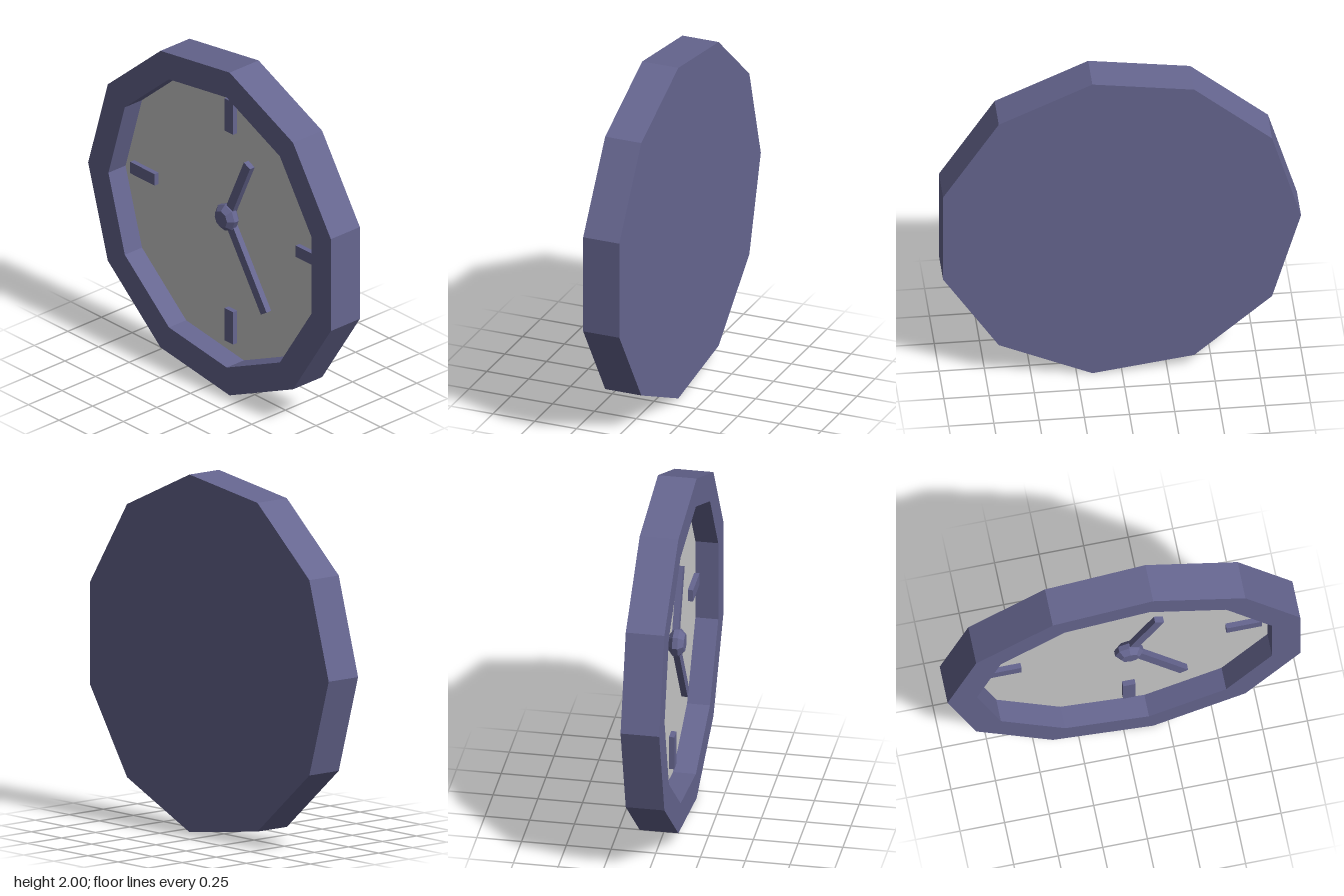
import * as THREE from 'three';

export function createModel() {
  const clock = new THREE.Group();
  clock.name = 'wallClock';

  const SIDES = 11, R = 1.01, INNER = 0.845, HALF = 0.108, DIAL_X = 0.02;
  const CY = 1, CZ = 0.02;          // centre of the case
  const HUB_Y = 1.03, HUB_Z = 0.045; // centre of the hands

  const blue = new THREE.MeshStandardMaterial({ color: 0x666690, flatShading: true });
  const grey = new THREE.MeshStandardMaterial({ color: 0xcccccc, flatShading: true });

  function add(name, geometry, material, x, y, z) {
    const mesh = new THREE.Mesh(geometry, material);
    mesh.name = name;
    mesh.position.set(x, y, z);
    clock.add(mesh);
    return mesh;
  }

  // Turned shape whose axis points to -x, towards the viewer of the dial
  function turned(profile, sides) {
    const points = profile.map(([r, h]) => new THREE.Vector2(r, h));
    return new THREE.LatheGeometry(points, sides, Math.PI).rotateZ(Math.PI / 2);
  }

  // Case: flat back, outer rim, ring front and inner wall
  add('case', turned([[0, -HALF], [R, -HALF], [R, HALF], [INNER, HALF], [INNER, -DIAL_X]], SIDES),
    blue, 0, CY, CZ);

  // Recessed dial
  add('dial', turned([[INNER, -DIAL_X], [0, -DIAL_X]], SIDES), grey, 0, CY, CZ);

  // Hour marks at the four quarters
  const LENGTH = 0.2, WIDTH = 0.07, DEPTH = 0.03;
  for (const s of [1, -1]) {
    add(s > 0 ? 'topMark' : 'bottomMark', new THREE.BoxGeometry(DEPTH, LENGTH, WIDTH),
      blue, DIAL_X - DEPTH / 2, CY + s * 0.65, 0.05);
    add(s > 0 ? 'frontMark' : 'rearMark', new THREE.BoxGeometry(DEPTH, WIDTH, LENGTH),
      blue, DIAL_X - DEPTH / 2, CY + 0.025, CZ + s * 0.675);
  }

  // Hands, pivoting about the hub
  function hand(name, length, angle) {
    const geometry = new THREE.BoxGeometry(0.035, length, 0.055).translate(0, length / 2, 0);
    add(name, geometry, blue, DIAL_X - 0.03, HUB_Y, HUB_Z).rotation.x = angle;
  }
  hand('hourHand', 0.42, 0.42);
  hand('minuteHand', 0.57, 2.57);

  // Faceted hub
  add('hub', turned([[0.05, 0], [0.08, 0.025], [0.08, 0.055], [0.05, 0.085], [0, 0.085]], 8),
    blue, DIAL_X, HUB_Y, HUB_Z);

  return clock;
}
